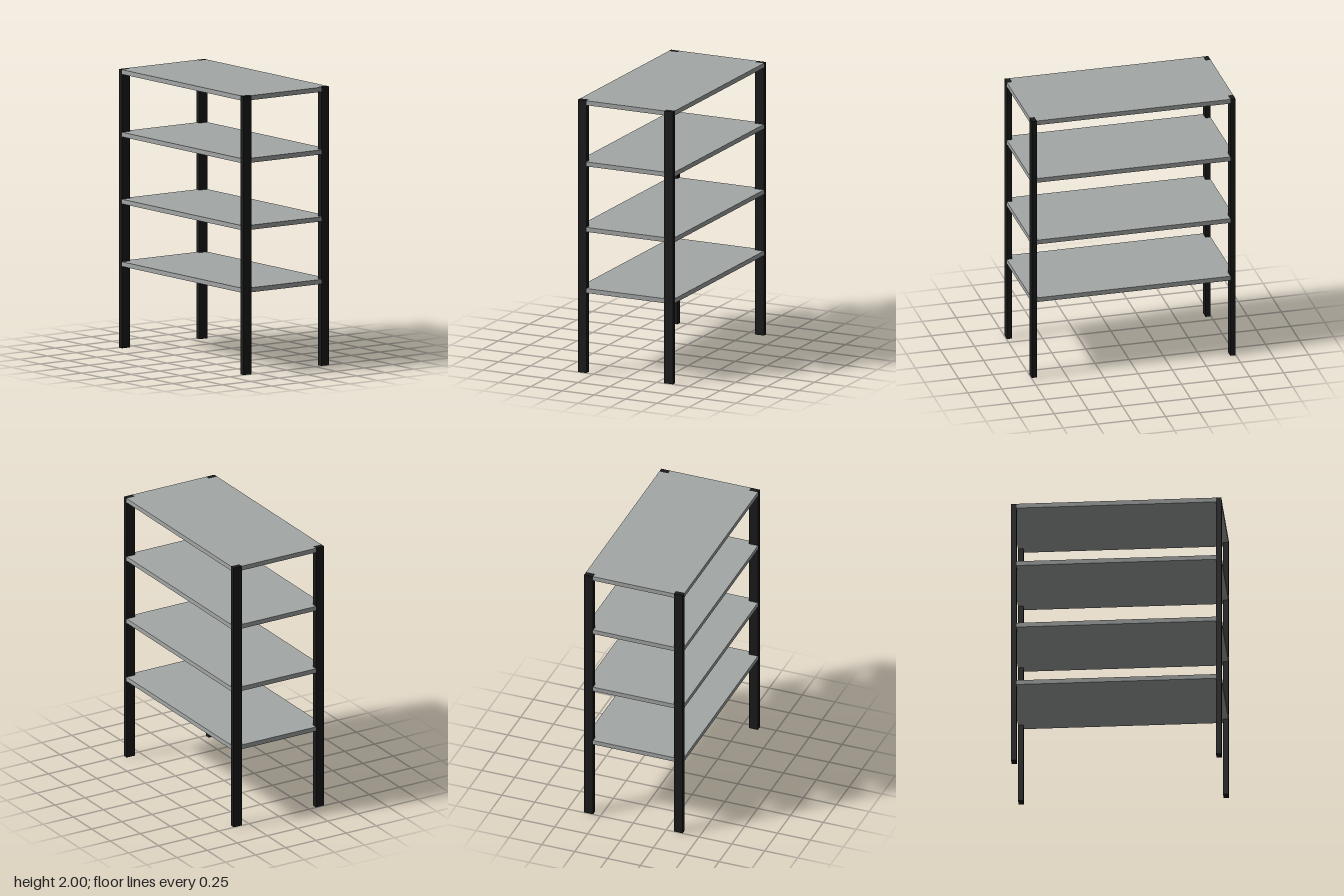
import * as THREE from 'three';

const HALF_W = 0.747, HALF_D = 0.375, HEIGHT = 2;
const POST_W = 0.038, POST_D = 0.068, SHELF_T = 0.033;
const SHELF_TOPS = [0.621, 1.07, 1.551, HEIGHT];

// Rectangular board with its four corners notched out for the posts
function shelfGeometry() {
  const x = HALF_W, z = HALF_D, xi = HALF_W - POST_W, zi = HALF_D - POST_D;
  const outline = new THREE.Shape([
    [xi, -z], [xi, -zi], [x, -zi], [x, zi], [xi, zi], [xi, z],
    [-xi, z], [-xi, zi], [-x, zi], [-x, -zi], [-xi, -zi], [-xi, -z],
  ].map(([a, b]) => new THREE.Vector2(a, b)));
  return new THREE.ExtrudeGeometry(outline, { depth: SHELF_T, bevelEnabled: false })
    .rotateX(-Math.PI / 2);
}

export function createModel() {
  const model = new THREE.Group();
  model.name = 'shelvingUnit';
  const shelfMaterial = new THREE.MeshStandardMaterial({ color: 0xa3a7a6 });
  const postMaterial = new THREE.MeshStandardMaterial({ color: 0x1b1b1b });

  // Four corner posts
  const postGeometry = new THREE.BoxGeometry(POST_W, HEIGHT, POST_D);
  for (const [side, sx] of [['Left', 1], ['Right', -1]]) {
    for (const [end, sz] of [['front', 1], ['back', -1]]) {
      const post = new THREE.Mesh(postGeometry, postMaterial);
      post.name = `${end}${side}Post`;
      post.position.set(sx * (HALF_W - POST_W / 2), HEIGHT / 2, sz * (HALF_D - POST_D / 2));
      model.add(post);
    }
  }

  // Four shelves, the highest flush with the post tops
  const board = shelfGeometry();
  SHELF_TOPS.forEach((top, i) => {
    const shelf = new THREE.Mesh(board, shelfMaterial);
    shelf.name = `shelf${i + 1}`;
    shelf.position.y = top - SHELF_T;
    model.add(shelf);
  });

  return model;
}
